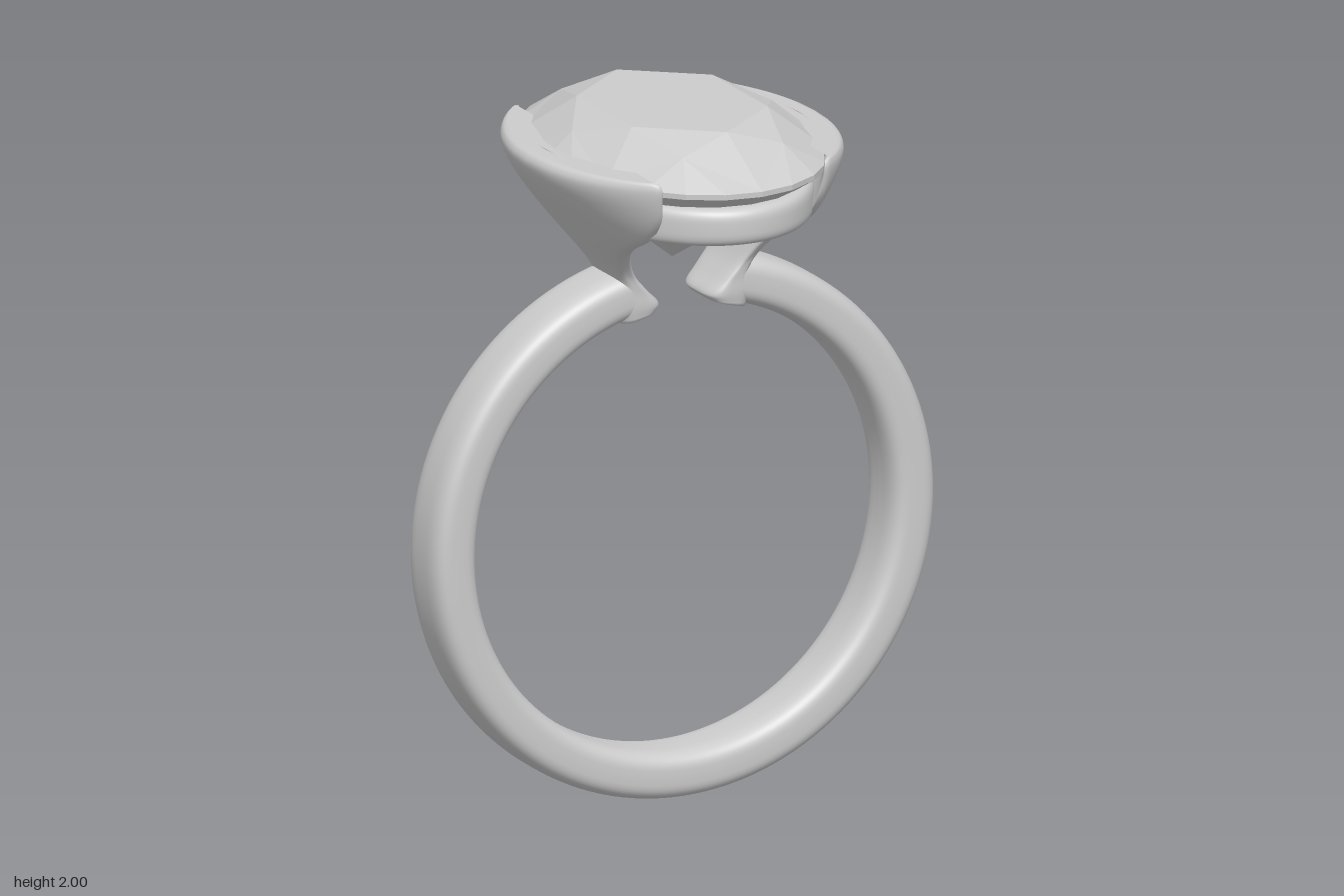
import * as THREE from 'three';

const metal = new THREE.MeshStandardMaterial({ color: 0xcccccc, side: THREE.DoubleSide });
metal.name = 'silver grey';

// Point on a soft-cornered unit square, used for every metal cross-section
function softSquare(t, power = 0.6) {
  const c = Math.cos(t), s = Math.sin(t);
  return [Math.sign(c) * Math.abs(c) ** power, Math.sign(s) * Math.abs(s) ** power];
}

// Closed, soft-cornered profile turned around the y axis
function turnedRing(radius, halfThick, halfWidth, start, sweep) {
  const profile = [];
  for (let i = 0; i <= 48; i++) {
    const [u, v] = softSquare(-Math.PI + (i / 48) * Math.PI * 2);
    profile.push(new THREE.Vector2(radius + halfThick * u, halfWidth * v));
  }
  return new THREE.LatheGeometry(profile, 128, start, sweep);
}

// Crescent claw: [inner x, inner y, outer x, outer y, half width] from foot to lip
const CLAW = [
  [0.085, 1.428, 0.2, 1.4, 0.094],
  [0.072, 1.445, 0.215, 1.45, 0.1],
  [0.11, 1.485, 0.212, 1.52, 0.101],
  [0.155, 1.535, 0.232, 1.56, 0.108],
  [0.2, 1.61, 0.272, 1.615, 0.155],
  [0.24, 1.665, 0.315, 1.67, 0.235],
  [0.28, 1.725, 0.362, 1.73, 0.345],
  [0.325, 1.79, 0.415, 1.8, 0.405],
  [0.36, 1.85, 0.45, 1.86, 0.425],
  [0.372, 1.89, 0.456, 1.89, 0.43],
  [0.377, 1.907, 0.447, 1.907, 0.424],
  [0.392, 1.914, 0.43, 1.914, 0.41],
];

function clawGeometry() {
  const inner = new THREE.CatmullRomCurve3(CLAW.map(s => new THREE.Vector3(s[0], s[1], s[4])));
  const outer = new THREE.CatmullRomCurve3(CLAW.map(s => new THREE.Vector3(s[2], s[3], s[4])));
  const rows = 55, around = 96, pos = [], index = [];
  for (let j = 0; j <= rows; j++) {
    const a = inner.getPoint(j / rows), b = outer.getPoint(j / rows);
    for (let i = 0; i < around; i++) {
      const [u, v] = softSquare((i / around) * Math.PI * 2);
      const p = a.clone().lerp(b, (u + 1) / 2), z = b.z * v;
      // wrap the section around the oval stone
      pos.push(p.x * Math.sqrt(1 - (z / 0.55) ** 2), p.y, z);
    }
  }
  for (let j = 0; j < rows; j++) {
    for (let i = 0; i < around; i++) {
      const n = (i + 1) % around;
      const a = j * around + i, b = j * around + n, c = a + around, d = b + around;
      index.push(a, c, b, b, c, d);
    }
  }
  // Foot and lip are closed by strips between the two mirrored halves
  const base = rows * around;
  for (let i = 0; i < around / 2; i++) {
    const n = i + 1, mi = (around - i) % around, mn = around - n;
    index.push(i, n, mi, n, mn, mi);
    index.push(base + i, base + mi, base + n, base + n, base + mi, base + mn);
  }
  const g = new THREE.BufferGeometry();
  g.setAttribute('position', new THREE.Float32BufferAttribute(pos, 3));
  g.setIndex(index);
  g.computeVertexNormals();
  return g;
}

// Oval brilliant-cut stone with a six-sided table
function stoneGeometry() {
  const pos = [];
  const at = (deg, r, y) => {
    const t = THREE.MathUtils.degToRad(deg);
    return [0.4 * r * Math.sin(t), y, 0.54 * r * Math.cos(t)];
  };
  const tri = (...pts) => pts.forEach(p => pos.push(...p));
  const table = d => at(d, 0.61, 2);
  const mid = d => at(d, 0.78, 1.957);
  const rim = d => at(d, 1, 1.885);
  const low = d => at(d, 1, 1.87);
  for (let d = 0; d < 360; d += 60) {
    // table, star facet and kite
    tri([0, 2, 0], table(d), table(d + 60));
    tri(table(d), mid(d + 30), table(d + 60));
    tri(table(d), rim(d), mid(d + 30));
    tri(table(d), mid(d - 30), rim(d));
    // facets down to the rim, the rim itself and the pavilion
    for (let k = d; k < d + 60; k += 15) {
      tri(mid(d + 30), rim(k), rim(k + 15));
      tri(rim(k), low(k), low(k + 15));
      tri(rim(k), low(k + 15), rim(k + 15));
      tri(low(k), [0, 1.55, 0], low(k + 15));
    }
  }
  const g = new THREE.BufferGeometry();
  g.setAttribute('position', new THREE.Float32BufferAttribute(pos, 3));
  g.computeVertexNormals();
  return g;
}

export function createModel() {
  const ring = new THREE.Group();
  ring.name = 'ring';
  const add = (name, geometry) => {
    const mesh = new THREE.Mesh(geometry, metal);
    mesh.name = name;
    ring.add(mesh);
    return mesh;
  };

  // Finger band, open at the top
  const gap = 0.24;
  const band = turnedRing(0.715, 0.07, 0.1, gap - Math.PI, 2 * (Math.PI - gap));
  add('band', band.rotateX(Math.PI / 2).translate(0, 0.785, 0));

  // Two claws facing each other
  const claw = clawGeometry();
  add('leftClaw', claw);
  add('rightClaw', claw).rotation.y = Math.PI;

  // Oval support below the stone
  const support = turnedRing(0.46, 0.05, 0.055, 0, Math.PI * 2);
  add('stoneSupport', support.scale(0.7, 1, 1).translate(0, 1.775, 0));

  add('stone', stoneGeometry());
  return ring;
}
